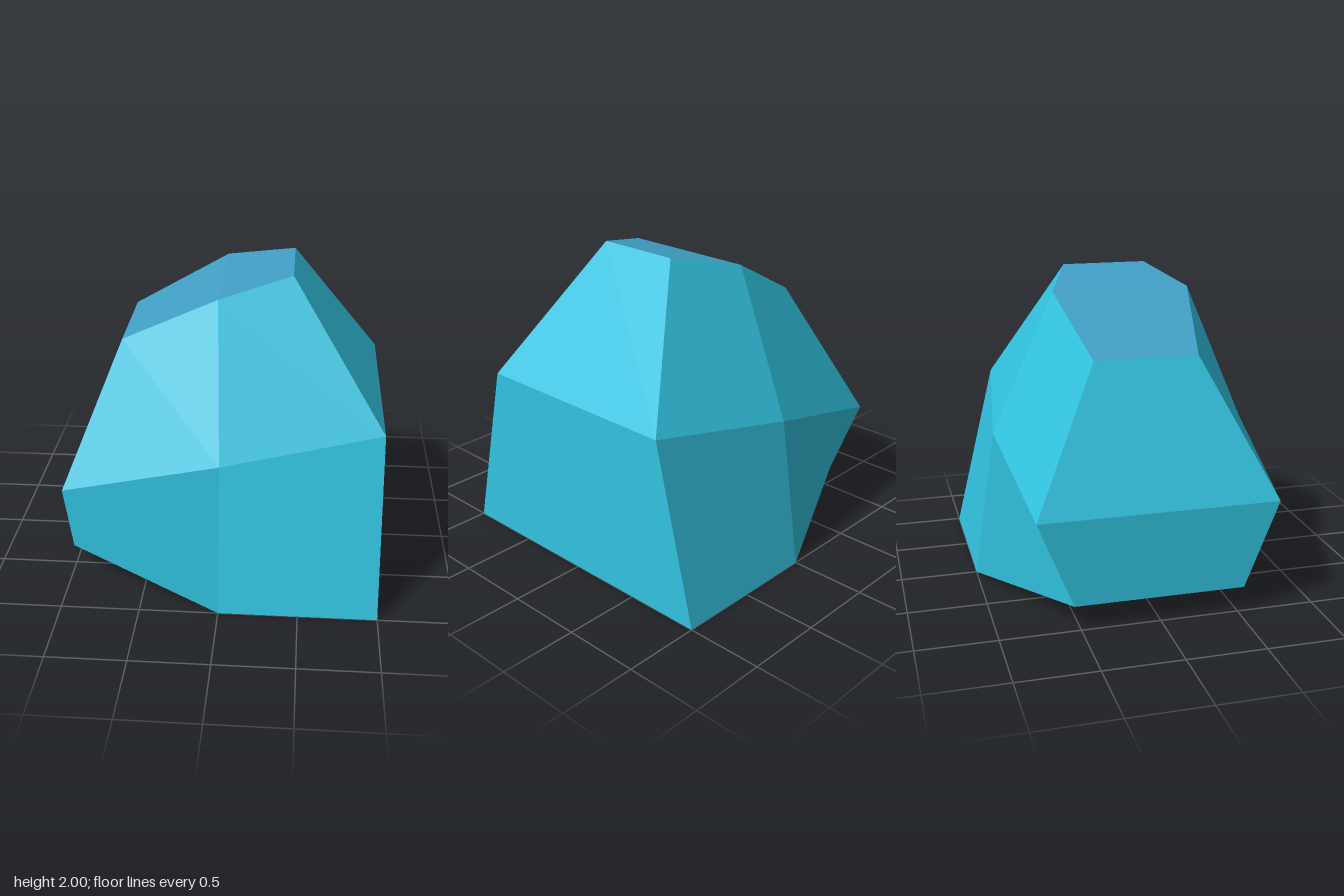
import * as THREE from 'three';

// Each ring is [x, y, half depth] at its left, centre and right, mirrored front to back.
const base = [[-1, 0.16, 0.54], [0, 0, 1], [1, 0, 1]];
const belt = [[-1, 0.71, 0.76], [0, 0.97, 0.857], [1, 1.15, 0.72]];
const crown = [[-0.65, 1.575, 0.33], [-0.035, 1.895, 0.45], [0.415, 2, 0.28]];

// Six corners, counter-clockwise from above, starting at the front left
function ring(profile) {
  const front = profile.map(([x, y, z]) => new THREE.Vector3(x, y, z));
  const back = profile.map(([x, y, z]) => new THREE.Vector3(x, y, -z)).reverse();
  return [...front, ...back];
}

// Four-cornered facets, each with one flat normal
function facets(quads) {
  const positions = [], normals = [];
  for (const [a, b, c, d] of quads) {
    const n = c.clone().sub(a).cross(d.clone().sub(b)).normalize();
    for (const p of [a, b, d, b, c, d]) {
      positions.push(p.x, p.y, p.z);
      normals.push(n.x, n.y, n.z);
    }
  }
  const g = new THREE.BufferGeometry();
  g.setAttribute('position', new THREE.Float32BufferAttribute(positions, 3));
  g.setAttribute('normal', new THREE.Float32BufferAttribute(normals, 3));
  return g;
}

// Side facets between two rings
function band(lower, upper) {
  return lower.map((p, i) => {
    const j = (i + 1) % lower.length;
    return [p, lower[j], upper[j], upper[i]];
  });
}

// Two facets closing a ring
function cap(r) {
  return [[r[0], r[1], r[4], r[5]], [r[1], r[2], r[3], r[4]]];
}

export function createModel() {
  const group = new THREE.Group();
  group.name = 'rock';

  const stone = new THREE.MeshStandardMaterial({ color: 0x32c3e0 });
  stone.name = 'turquoise stone';
  const topStone = new THREE.MeshStandardMaterial({ color: 0x419fc4 });
  topStone.name = 'dusty blue top';

  const [low, mid, high] = [base, belt, crown].map(ring);
  const add = (name, quads, material) => {
    const mesh = new THREE.Mesh(facets(quads), material);
    mesh.name = name;
    group.add(mesh);
  };

  add('lowerSides', band(low, mid), stone);
  add('upperSides', band(mid, high), stone);
  add('underside', cap(low).map((q) => q.reverse()), stone);
  add('topFace', cap(high), topStone);
  return group;
}
